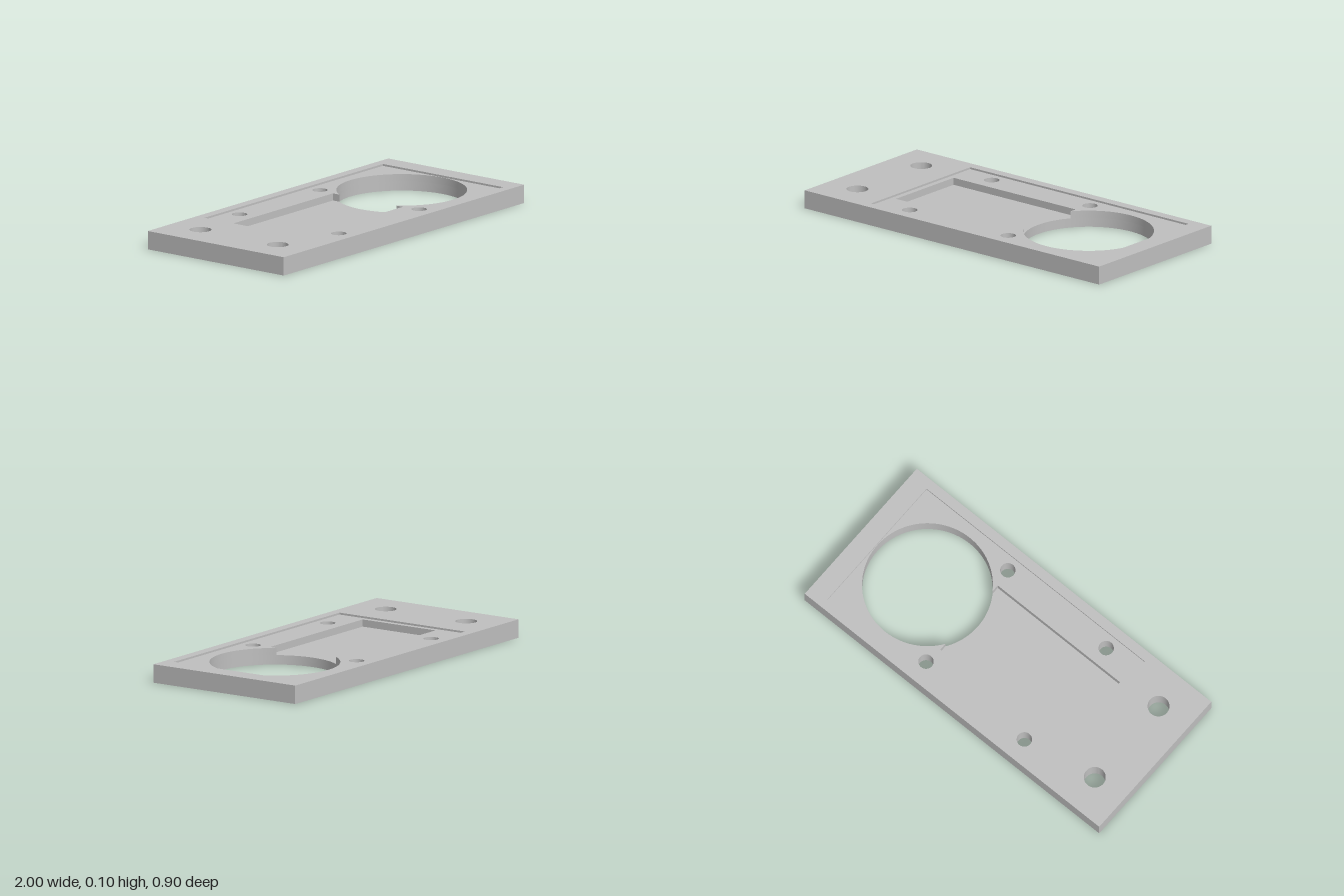
import * as THREE from 'three';
import { toCreasedNormals } from 'three/addons/utils/BufferGeometryUtils.js';

// Heights of the levels
const TOP = 0.098, RECESS = 0.088, POCKET = 0.05;

const pt = (x, y) => new THREE.Vector2(x, y);

// Counter-clockwise outlines in plan
const rect = (x0, x1, h) => [pt(x0, -h), pt(x1, -h), pt(x1, h), pt(x0, h)];

function arc(cx, cy, r, a0, a1, n) {
  const points = [];
  for (let i = 0; i <= n; i++) {
    const a = a0 + (a1 - a0) * i / n;
    points.push(pt(cx + r * Math.cos(a), cy + r * Math.sin(a)));
  }
  return points;
}

const circle = (cx, cy, r, n) => arc(cx, cy, r, 0, Math.PI * 2, n).slice(0, -1);

// Flat face at height y, with holes
function face(outline, holes, y, down = false) {
  const shape = new THREE.Shape(outline);
  holes.forEach(h => shape.holes.push(new THREE.Path(h)));
  const g = new THREE.ShapeGeometry(shape);
  g.rotateX(down ? Math.PI / 2 : -Math.PI / 2);
  return g.translate(0, y, 0);
}

// Upright wall along an outline; inward walls line a hole
function wall(outline, y0, y1, inward = true) {
  const loop = inward ? [...outline].reverse() : outline;
  const v = [];
  loop.forEach((p, i) => {
    const q = loop[(i + 1) % loop.length];
    const a = [p.x, y0, -p.y], b = [q.x, y0, -q.y];
    const c = [q.x, y1, -q.y], d = [p.x, y1, -p.y];
    v.push(...a, ...b, ...c, ...a, ...c, ...d);
  });
  const g = new THREE.BufferGeometry();
  g.setAttribute('position', new THREE.Float32BufferAttribute(v, 3));
  return toCreasedNormals(g, 0.5);
}

export function createModel() {
  const group = new THREE.Group();
  group.name = 'mountingPlate';
  const grey = new THREE.MeshStandardMaterial({ color: 0xbfbfbf });
  grey.name = 'plate grey';

  const add = (name, geometry) => {
    const mesh = new THREE.Mesh(geometry, grey);
    mesh.name = name;
    group.add(mesh);
  };

  // Plan outlines
  const edge = rect(-1, 1, 0.452);
  const recess = rect(-0.594, 0.89, 0.4);
  const bx = 0.547, br = 0.34;
  const bore = circle(bx, 0, br, 96);
  const bolts = [], screws = [];
  for (const s of [-1, 1]) {
    bolts.push(circle(-0.806, s * 0.257, 0.057, 40));
    for (const x of [-0.389, 0.279]) screws.push(circle(x, s * 0.33, 0.04, 32));
  }

  // Pocket that runs into the large bore
  const px0 = -0.565, px1 = 0.265, ph = 0.232;
  const a = Math.acos((px1 - bx) / br);
  const pocketCorners = [pt(px1, ph), pt(px0, ph), pt(px0, -ph), pt(px1, -ph)];
  const opening = [...arc(bx, 0, br, -a, a, 72), ...pocketCorners];
  const pocket = [...pocketCorners, ...arc(bx, 0, br, Math.PI * 2 - a, a, 30)];

  // Horizontal faces
  add('topFace', face(edge, [recess, ...bolts], TOP));
  add('recessFloor', face(recess, [opening, ...screws], RECESS));
  add('pocketFloor', face(pocket, [], POCKET));
  add('underside', face(edge, [bore, ...bolts, ...screws], 0, true));

  // Walls
  add('outerEdge', wall(edge, 0, TOP, false));
  add('recessWall', wall(recess, RECESS, TOP));
  add('pocketWall', wall(opening, POCKET, RECESS));
  add('boreWall', wall(bore, 0, POCKET));
  bolts.forEach(h => add('boltHole', wall(h, 0, TOP)));
  screws.forEach(h => add('screwHole', wall(h, 0, RECESS)));

  return group;
}
